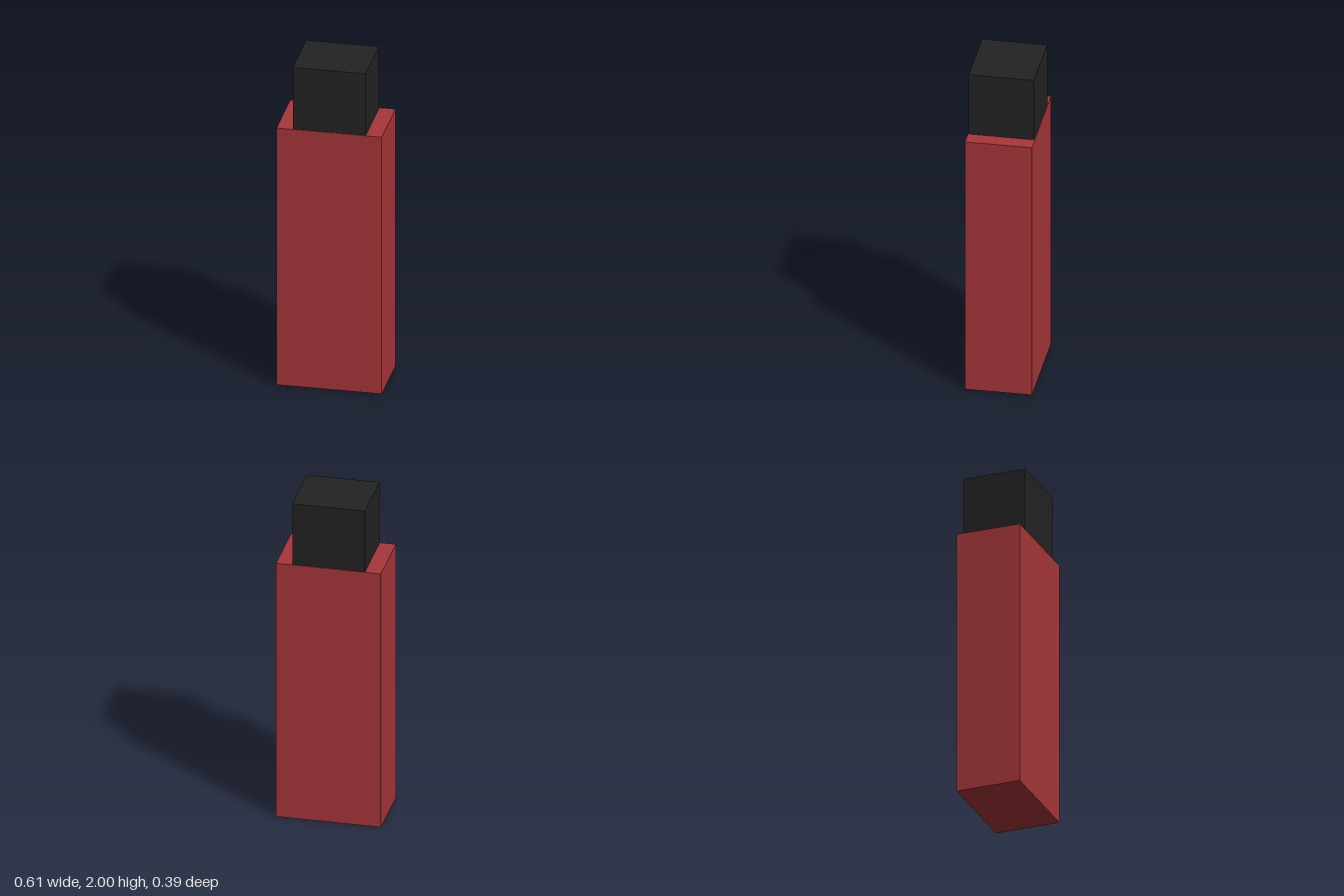
import * as THREE from 'three';

// A box resting on height y, centred on x and z
function block(name, width, height, depth, y, color) {
  const mesh = new THREE.Mesh(
    new THREE.BoxGeometry(width, height, depth),
    new THREE.MeshStandardMaterial({ color })
  );
  mesh.name = name;
  mesh.position.y = y + height / 2;
  return mesh;
}

export function createModel() {
  const model = new THREE.Group();
  model.name = 'bottle';
  const bodyHeight = 1.613;

  // Tall red body
  model.add(block('body', 0.612, bodyHeight, 0.388, 0, 0xa83639));
  // Narrower black cap on top
  model.add(block('cap', 0.424, 2 - bodyHeight, 0.378, bodyHeight, 0x232323));

  return model;
}
